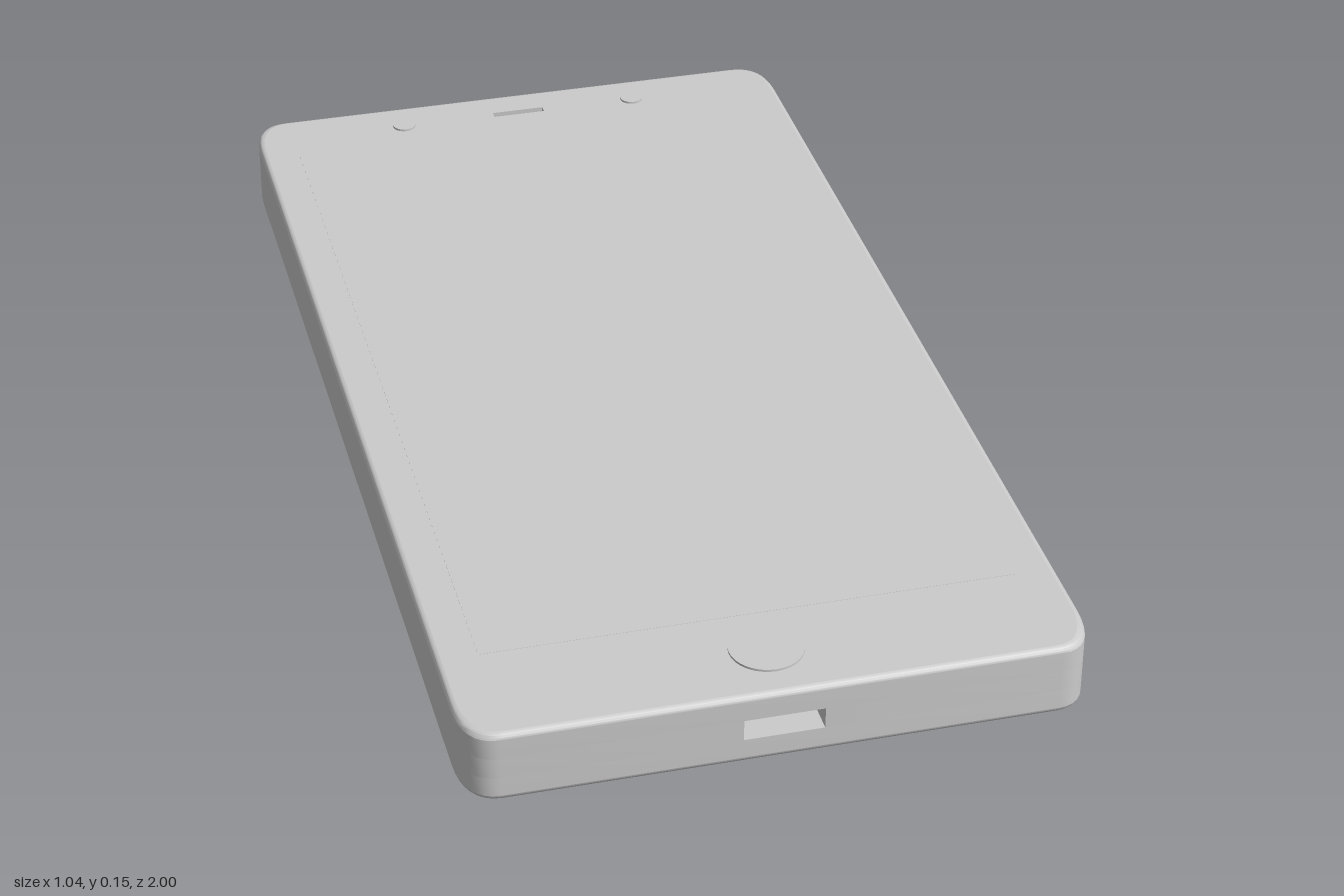
import * as THREE from 'three';
import { toCreasedNormals } from 'three/addons/utils/BufferGeometryUtils.js';

const HALF_W = 0.52, HALF_L = 1, EDGE = 0.01;
const BOTTOM = 0.012, TOP = 0.142;

// Rounded body outline, inset by d, with an optional notch for the port
function outline(d, notch = false) {
  const w = HALF_W - d, l = HALF_L - d, rx = 0.06, rl = 0.1;
  const s = new THREE.Shape();
  s.moveTo(-w + rx, -l);
  if (notch) {
    s.lineTo(-0.067, -l);
    s.lineTo(-0.067, -l + 0.1);
    s.lineTo(0.067, -l + 0.1);
    s.lineTo(0.067, -l);
  }
  s.lineTo(w - rx, -l);
  s.quadraticCurveTo(w, -l, w, -l + rl);
  s.lineTo(w, l - rl);
  s.quadraticCurveTo(w, l, w - rx, l);
  s.lineTo(-w + rx, l);
  s.quadraticCurveTo(-w, l, -w, l - rl);
  s.lineTo(-w, -l + rl);
  s.quadraticCurveTo(-w, -l, -w + rx, -l);
  return s;
}

// Earpiece opening cut through the upper layers
function withSlot(shape) {
  const x = 0.05, y0 = 0.918, y1 = 0.934;
  shape.holes.push(new THREE.Path([
    new THREE.Vector2(-x, y0), new THREE.Vector2(-x, y1),
    new THREE.Vector2(x, y1), new THREE.Vector2(x, y0),
  ]));
  return shape;
}

// Horizontal slab between two heights
function slab(shape, y0, y1) {
  const g = new THREE.ExtrudeGeometry(shape, { depth: y1 - y0, bevelEnabled: false, curveSegments: 8 });
  g.rotateX(-Math.PI / 2).translate(0, y0, 0);
  return toCreasedNormals(g, 0.5);
}

// Rounded rim lofted through [inset, height] sections, low to high
function rim(sections) {
  const pos = [], index = [];
  let n = 0;
  for (const [d, y] of sections) {
    const pts = outline(d).getPoints(8);
    n = pts.length;
    for (const p of pts) pos.push(p.x, y, -p.y);
  }
  for (let k = 0; k < sections.length - 1; k++) {
    for (let i = 0; i < n - 1; i++) {
      const a = k * n + i, b = a + n;
      index.push(a, a + 1, b + 1, a, b + 1, b);
    }
  }
  const g = new THREE.BufferGeometry();
  g.setAttribute('position', new THREE.Float32BufferAttribute(pos, 3));
  g.setIndex(index);
  return toCreasedNormals(g, 0.6);
}

export function createModel() {
  const model = new THREE.Group();
  const material = new THREE.MeshStandardMaterial({ color: 0xcccccc });
  const add = (name, geometry, parent = model) => {
    const mesh = new THREE.Mesh(geometry, material);
    mesh.name = name;
    parent.add(mesh);
    return mesh;
  };

  // Casing in layers, so that the port and earpiece are real recesses
  const casing = new THREE.Group();
  casing.name = 'casing';
  model.add(casing);
  add('backPanel', slab(outline(EDGE), BOTTOM, BOTTOM + EDGE), casing);
  add('lowerCasing', slab(outline(0), BOTTOM + EDGE, 0.057), casing);
  add('portCasing', slab(outline(0, true), 0.057, 0.095), casing);
  add('upperCasing', slab(withSlot(outline(0)), 0.095, TOP - EDGE), casing);
  add('frontPanel', slab(withSlot(outline(EDGE)), TOP - EDGE, TOP), casing);

  // Rounded edges
  const arc = [0, 1, 2, 3, 4].map(i => {
    const a = i / 4 * Math.PI / 2;
    return [EDGE * (1 - Math.cos(a)), EDGE * Math.sin(a)];
  });
  add('topRim', rim(arc.map(([d, h]) => [d, TOP - EDGE + h])), casing);
  add('bottomRim', rim(arc.map(([d, h]) => [d, BOTTOM + EDGE - h]).reverse()), casing);

  // Screen, almost flush with the front panel
  add('screen', new THREE.BoxGeometry(0.9, 0.004, 1.66)).position.set(0, TOP - 0.0015, -0.04);

  // Round parts: name, radius, x, z, bottom and top heights
  const discs = [
    ['homeButton', 0.062, 0, 0.885, 0.135, 0.146],
    ['leftSensor', 0.022, 0.23, -0.926, 0.135, 0.146],
    ['rightSensor', 0.022, -0.23, -0.926, 0.135, 0.146],
    ['rearCamera', 0.083, 0.283, -0.795, 0, 0.02],
  ];
  for (const [name, r, x, z, y0, y1] of discs) {
    add(name, new THREE.CylinderGeometry(r, r, y1 - y0, 32)).position.set(x, (y0 + y1) / 2, z);
  }
  return model;
}
